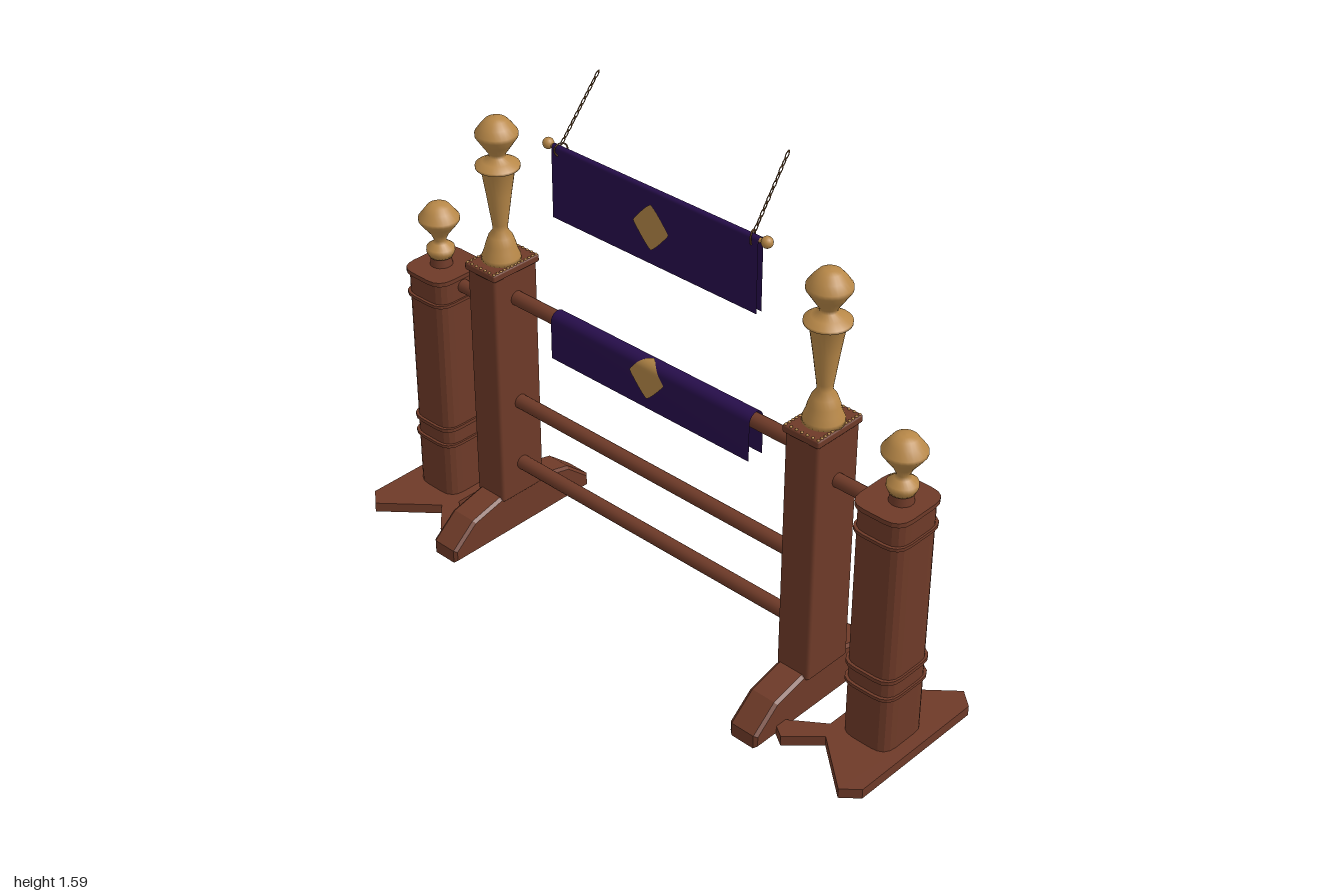
import * as THREE from 'three';
import { mergeGeometries } from 'three/addons/utils/BufferGeometryUtils.js';
import { RoundedBoxGeometry } from 'three/addons/geometries/RoundedBoxGeometry.js';

function material(name, color, side = THREE.FrontSide) {
  const m = new THREE.MeshStandardMaterial({ color, side });
  m.name = name;
  return m;
}
const wood = material('wood', 0x6e3a28);
const gold = material('gold', 0xb88848);
const cloth = material('purple cloth', 0x270e4b, THREE.DoubleSide);
const emblemGold = material('emblem gold', 0xb08446, THREE.DoubleSide);
const bronze = material('bronze', 0x6b4826);

function add(parent, name, geometry, mat, x = 0, y = 0, z = 0) {
  const mesh = new THREE.Mesh(geometry, mat);
  mesh.name = name;
  mesh.position.set(x, y, z);
  parent.add(mesh);
  return mesh;
}

// Cylinder lying along x
function bar(radius, length) {
  return new THREE.CylinderGeometry(radius, radius, length, 16).rotateZ(Math.PI / 2);
}

function lathe(profile) {
  return new THREE.LatheGeometry(profile.map(([r, y]) => new THREE.Vector2(r, y)), 24);
}

// Upright prism with chamfered, softened corners
function roundedPrism(w, d, r, height) {
  const a = w / 2, b = d / 2, s = new THREE.Shape();
  s.moveTo(-a + r, -b);
  s.lineTo(a - r, -b).quadraticCurveTo(a, -b, a, -b + r);
  s.lineTo(a, b - r).quadraticCurveTo(a, b, a - r, b);
  s.lineTo(-a + r, b).quadraticCurveTo(-a, b, -a, b - r);
  s.lineTo(-a, -b + r).quadraticCurveTo(-a, -b, -a + r, -b);
  return new THREE.ExtrudeGeometry(s, { depth: height, bevelEnabled: false, curveSegments: 4 })
    .rotateX(-Math.PI / 2);
}

// Sheet swept through rows of [y, z, half width]
function sheet(rows) {
  const g = new THREE.PlaneGeometry(2, 1, 1, rows.length - 1);
  const p = g.attributes.position;
  rows.forEach(([y, z, w], i) => {
    p.setXYZ(i * 2, -w, y, z);
    p.setXYZ(i * 2 + 1, w, y, z);
  });
  g.computeVertexNormals();
  return g;
}

// Cloth folded over a bar: front hem, half circle, back hem
function drape(halfWidth, axisY, radius, hemY) {
  const rows = [[hemY, radius, halfWidth]];
  for (let i = 0; i <= 10; i++) {
    const a = Math.PI * i / 10;
    rows.push([axisY + radius * Math.sin(a), radius * Math.cos(a), halfWidth]);
  }
  rows.push([hemY, -radius, halfWidth]);
  return sheet(rows);
}

// Rounded diamond that follows the fold where it reaches above the bar
function emblem(centerY, hw, hh, axisY, radius, side) {
  const rows = [];
  for (let i = 0; i <= 16; i++) {
    const t = i / 8 - 1;
    const w = hw * Math.min(1, Math.pow(1 - Math.abs(t), 0.85) + 0.02);
    let y = centerY + t * hh, z = radius;
    if (y > axisY) {
      const a = (y - axisY) / radius;
      y = axisY + radius * Math.sin(a);
      z = radius * Math.cos(a);
    }
    rows.push([y, z * side, w]);
  }
  return sheet(rows);
}

const tallFinial = [
  [0, 0.94], [0.06, 0.94], [0.058, 0.955], [0.05, 0.975], [0.045, 0.995], [0.036, 1.02],
  [0.022, 1.04], [0.024, 1.06], [0.038, 1.16], [0.05, 1.238], [0.066, 1.245], [0.066, 1.253],
  [0.045, 1.265], [0.024, 1.278], [0.026, 1.29], [0.045, 1.318], [0.063, 1.345], [0.063, 1.357],
  [0.048, 1.378], [0.032, 1.396], [0.015, 1.402], [0, 1.404]];
const shortFinial = [
  [0, 0.845], [0.036, 0.845], [0.044, 0.862], [0.043, 0.876], [0.024, 0.89], [0.018, 0.9],
  [0.028, 0.922], [0.05, 0.95], [0.063, 0.968], [0.063, 0.978], [0.046, 1.0], [0.034, 1.016],
  [0.015, 1.022], [0, 1.023]];

function innerStandard() {
  const g = new THREE.Group();
  g.name = 'innerStandard';
  const x = 0.616;
  // Sloping foot across the fence
  const foot = new THREE.Shape([[-0.28, 0.008], [0.28, 0.008], [0.28, 0.04], [0.2, 0.107],
    [0.09, 0.134], [-0.09, 0.134], [-0.2, 0.107], [-0.28, 0.04]].map(p => new THREE.Vector2(...p)));
  const footGeo = new THREE.ExtrudeGeometry(foot,
    { depth: 0.08, bevelSize: 0.008, bevelThickness: 0.01, bevelSegments: 1 });
  footGeo.translate(0, 0, -0.04).rotateY(-Math.PI / 2);
  add(g, 'foot', footGeo, wood, x - 0.003);
  add(g, 'post', new RoundedBoxGeometry(0.116, 0.81, 0.172, 2, 0.01), wood, x, 0.53);
  add(g, 'postCap', new RoundedBoxGeometry(0.126, 0.024, 0.184, 1, 0.005), wood, x, 0.93);
  // Beaded trim round the cap
  const beads = [];
  const bead = (bx, bz) => beads.push(new THREE.IcosahedronGeometry(0.0045, 1).translate(bx, 0.942, bz));
  for (let i = 0; i <= 12; i++) {
    const t = i / 6 - 1;
    for (const s of [-1, 1]) {
      bead(s * 0.056, t * 0.085);
      if (i % 2 === 0) bead(t * 0.056, s * 0.085);
    }
  }
  add(g, 'capBeads', mergeGeometries(beads), gold, x);
  add(g, 'tallFinial', lathe(tallFinial), gold, x + 0.002);
  return g;
}

function outerPillar() {
  const g = new THREE.Group();
  g.name = 'outerPillar';
  const x = 0.877;
  // Splayed base plate
  const half = [[1, 0.235], [0.95, 0.278], [0.79, 0.14], [0.7, 0.226], [0.66, 0.2], [0.66, 0.165], [0.765, 0.09]];
  const outline = [...half, ...half.map(([a, b]) => [a, -b]).reverse()];
  const plate = new THREE.Shape(outline.map(p => new THREE.Vector2(...p)));
  add(g, 'basePlate', new THREE.ExtrudeGeometry(plate, { depth: 0.032, bevelEnabled: false })
    .rotateX(-Math.PI / 2), wood);
  add(g, 'pillar', roundedPrism(0.164, 0.182, 0.05, 0.78), wood, x, 0.03);
  for (const [y, h] of [[0.216, 0.01], [0.275, 0.012], [0.725, 0.01], [0.802, 0.014]])
    add(g, 'ring', roundedPrism(0.176, 0.2, 0.054, h), wood, x, y);
  add(g, 'finialNeck', new THREE.CylinderGeometry(0.03, 0.036, 0.04, 20), wood, x + 0.012, 0.83);
  add(g, 'shortFinial', lathe(shortFinial), gold, x + 0.012);
  add(g, 'linkRail', bar(0.021, 0.15), wood, 0.73, 0.775);
  return g;
}

// Chain of alternating links leaning backwards
function chain(side) {
  const g = new THREE.Group();
  g.name = 'chain';
  const a = new THREE.Vector3(side * 0.357, 1.408, -0.004);
  const b = new THREE.Vector3(side * 0.347, 1.585, -0.143);
  const dir = b.clone().sub(a).normalize();
  const lean = new THREE.Quaternion().setFromUnitVectors(new THREE.Vector3(0, 1, 0), dir);
  const count = 11;
  for (let i = 0; i < count; i++) {
    const link = add(g, 'link', new THREE.TorusGeometry(0.006, 0.0018, 5, 10)
      .scale(0.75, 2, 1).rotateY(i % 2 ? Math.PI / 2 : 0), bronze);
    link.position.lerpVectors(a, b, (i + 0.5) / count);
    link.quaternion.copy(lean);
  }
  add(g, 'hangingRing', new THREE.TorusGeometry(0.02, 0.0025, 6, 20)
    .rotateY(Math.PI / 2 + side * 0.4), bronze, side * 0.355, 1.393);
  return g;
}

export function createModel() {
  const model = new THREE.Group();
  model.name = 'jumpFence';

  // Both ends are the same, turned half round
  for (const turn of [0, Math.PI]) {
    const end = new THREE.Group();
    end.name = turn ? 'rightEnd' : 'leftEnd';
    end.add(innerStandard(), outerPillar());
    end.rotation.y = turn;
    model.add(end);
  }

  for (const y of [0.24, 0.465, 0.83]) add(model, 'rail', bar(0.023, 1.14), wood, 0, y);

  // Banner folded over the top rail
  add(model, 'lowerBanner', drape(0.385, 0.832, 0.028, 0.708), cloth);
  add(model, 'lowerFrontEmblem', emblem(0.812, 0.066, 0.07, 0.832, 0.031, 1), emblemGold);
  add(model, 'lowerBackEmblem', emblem(0.79, 0.04, 0.046, 0.832, 0.031, -1), emblemGold);

  // Banner hanging from a rod
  add(model, 'bannerRod', bar(0.007, 0.8), gold, 0, 1.393);
  add(model, 'upperBanner', drape(0.383, 1.393, 0.01, 1.173), cloth);
  add(model, 'upperFrontEmblem', emblem(1.288, 0.066, 0.07, 1.393, 0.013, 1), emblemGold);
  add(model, 'upperBackEmblem', emblem(1.288, 0.04, 0.046, 1.393, 0.013, -1), emblemGold);
  for (const s of [-1, 1]) {
    add(model, 'rodBall', new THREE.SphereGeometry(0.017, 16, 12), gold, s * 0.405, 1.396);
    model.add(chain(s));
  }
  return model;
}
